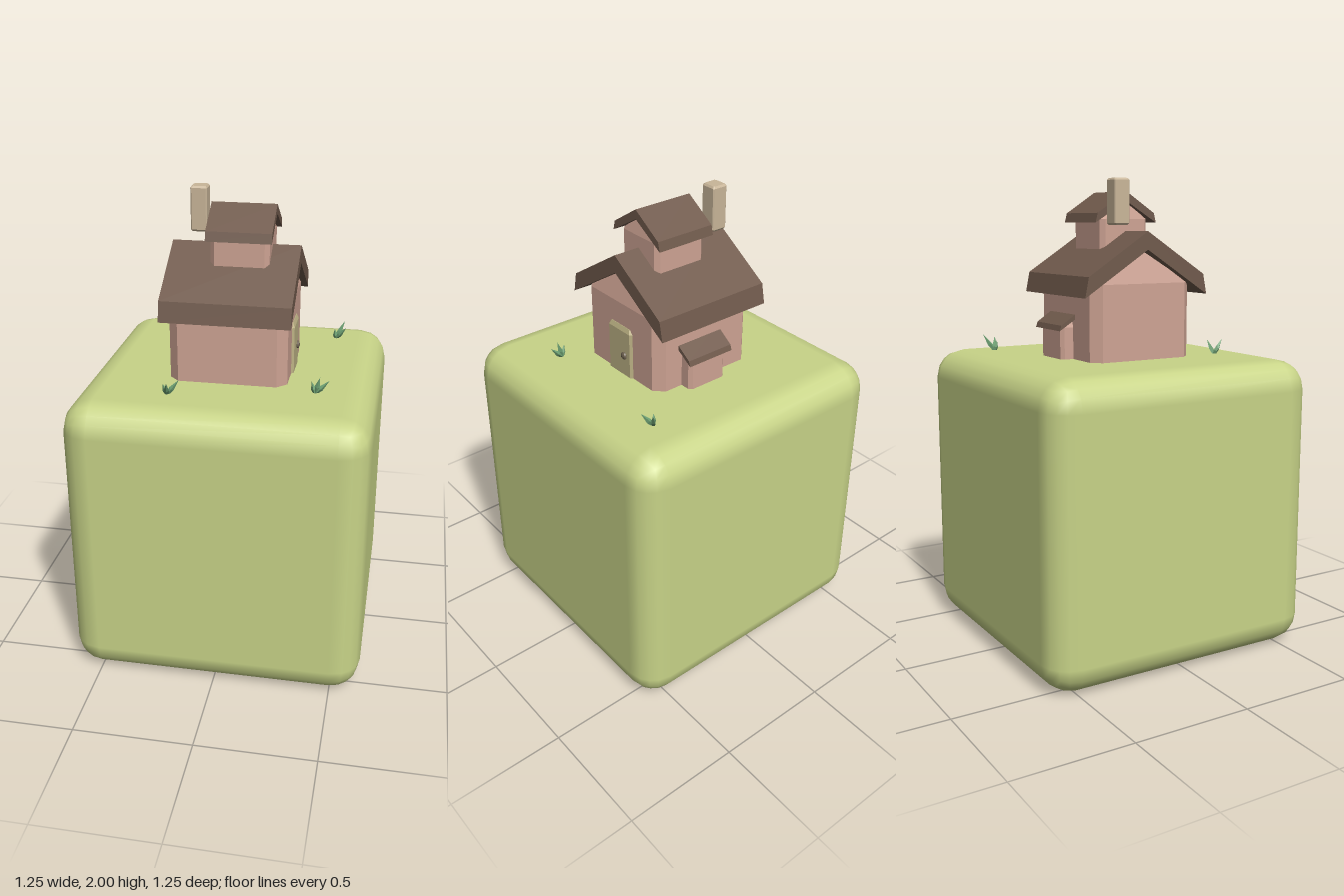
import * as THREE from 'three';
import { RoundedBoxGeometry } from 'three/addons/geometries/RoundedBoxGeometry.js';
import { ConvexGeometry } from 'three/addons/geometries/ConvexGeometry.js';

const mat = (color, flatShading = true) => new THREE.MeshStandardMaterial({ color, flatShading });
const grassy = mat(0xc8d488, false);
const wall = mat(0xcfa494);
const roofing = mat(0x705a4c);
const stone = mat(0xc9b699);
const doorWood = mat(0xbfb486);
const iron = mat(0x6e6250);
const blade = mat(0x6fa274);

const V = (x, y, z) => new THREE.Vector3(x, y, z);

// Rectangle in plan with its four corners cut off by c
function ring(x0, x1, z0, z1, c, y) {
  return [
    V(x0 + c, y, z0), V(x1 - c, y, z0), V(x1, y, z0 + c), V(x1, y, z1 - c),
    V(x1 - c, y, z1), V(x0 + c, y, z1), V(x0, y, z1 - c), V(x0, y, z0 + c),
  ];
}

// Shape drawn in (z, y), extruded along x from x0 to x1
function extrudeX(points, x0, x1) {
  const shape = new THREE.Shape(points.map(([z, y]) => new THREE.Vector2(-z, y)));
  const geo = new THREE.ExtrudeGeometry(shape, { depth: x1 - x0, bevelEnabled: false });
  return geo.rotateY(Math.PI / 2).translate(x0, 0, 0);
}

// Gabled roof: ridge, outer eave corner, eave tip and underside, mirrored about z = mid
function gableRoof(x0, x1, mid, ridge, eave, tip, under) {
  return extrudeX([
    [mid, ridge], [mid + eave[0], eave[1]], [mid + tip[0], tip[1]],
    [mid, under], [mid - tip[0], tip[1]], [mid - eave[0], eave[1]],
  ], x0, x1);
}

export function createModel() {
  const model = new THREE.Group();
  const add = (name, geometry, material, parent = model) => {
    const mesh = new THREE.Mesh(geometry, material);
    mesh.name = name;
    parent.add(mesh);
    return mesh;
  };

  // Rounded block of ground
  add('groundBlock', new RoundedBoxGeometry(1.246, 1.25, 1.246, 2, 0.125).translate(0, 0.625, 0), grassy);

  // House: chamfered walls that lean in slightly at the gables
  const house = new THREE.Group();
  house.name = 'house';
  model.add(house);
  add('houseWalls', new ConvexGeometry([
    ...ring(-0.245, 0.248, -0.233, 0.25, 0.04, 1.24),
    ...ring(-0.245, 0.248, -0.233, 0.25, 0.04, 1.57),
    V(-0.205, 1.73, 0.008), V(0.208, 1.73, 0.008),
  ]), wall, house);
  add('houseRoof', gableRoof(-0.27, 0.27, 0.008, 1.785, [0.28, 1.605], [0.297, 1.52], 1.71), roofing, house);

  // Raised attic
  add('atticWalls', new ConvexGeometry([
    ...ring(-0.092, 0.152, -0.11, 0.12, 0.018, 1.68),
    ...ring(-0.092, 0.152, -0.11, 0.12, 0.018, 1.835),
    V(-0.074, 1.92, 0.005), V(0.134, 1.92, 0.005),
  ]), wall, house);
  add('atticRoof', gableRoof(-0.105, 0.167, 0.003, 1.95, [0.139, 1.86], [0.149, 1.82], 1.91), roofing, house);

  // Lean-to at the back
  add('leanToWalls', new ConvexGeometry([
    ...ring(-0.063, 0.125, -0.288, -0.2, 0.014, 1.24),
    ...ring(-0.063, 0.125, -0.288, -0.2, 0.014, 1.385),
    V(-0.05, 1.425, -0.225), V(0.112, 1.425, -0.225),
  ]), wall, house);
  add('leanToRoof', extrudeX(
    [[-0.21, 1.455], [-0.298, 1.396], [-0.306, 1.373], [-0.21, 1.433]], -0.08, 0.142), roofing, house);

  // Chimney with softened edges
  add('chimney', new ConvexGeometry([
    ...ring(-0.199, -0.141, -0.106, -0.046, 0.005, 1.81),
    ...ring(-0.205, -0.135, -0.112, -0.04, 0.005, 1.818),
    ...ring(-0.205, -0.135, -0.112, -0.04, 0.005, 1.992),
    ...ring(-0.199, -0.141, -0.106, -0.046, 0.005, 2.0),
  ]), stone, house);

  // Door with bevelled rim, and its knob
  add('door', new ConvexGeometry([
    ...ring(0.225, 0.258, -0.068, 0.088, 0.01, 1.24),
    ...ring(0.225, 0.258, -0.068, 0.088, 0.01, 1.452),
    ...ring(0.225, 0.25, -0.058, 0.078, 0.008, 1.472),
  ]), doorWood, house);
  add('doorKnob', new THREE.SphereGeometry(0.017, 8, 6).scale(0.6, 1, 1).translate(0.26, 1.343, -0.022), iron, house);

  // Grass tufts: a root and the tip offsets of the blades
  const leaf = new THREE.LatheGeometry(
    [[0, 0], [0.007, 0.05], [0.011, 0.4], [0, 1]].map(([r, y]) => new THREE.Vector2(r, y)), 4);
  const tufts = [
    { at: V(0.395, 1.245, -0.39), tips: [[0.037, 0.075, -0.042], [0.047, 0.062, 0.02], [-0.005, 0.05, 0.008]] },
    { at: V(0.37, 1.245, 0.275), tips: [[0.058, 0.06, -0.003], [0.02, 0.075, 0.005], [-0.014, 0.055, 0.005]] },
    { at: V(-0.22, 1.245, 0.39), tips: [[0.05, 0.065, -0.005], [0.012, 0.068, 0.05], [-0.012, 0.05, 0.01]] },
  ];
  for (const { at, tips } of tufts) {
    const tuft = new THREE.Group();
    tuft.name = 'grassTuft';
    tuft.position.copy(at);
    model.add(tuft);
    for (const tip of tips) {
      const dir = V(...tip);
      const mesh = add('grassBlade', leaf, blade, tuft);
      mesh.scale.set(1, dir.length(), 1);
      mesh.quaternion.setFromUnitVectors(V(0, 1, 0), dir.normalize());
    }
  }

  return model;
}
